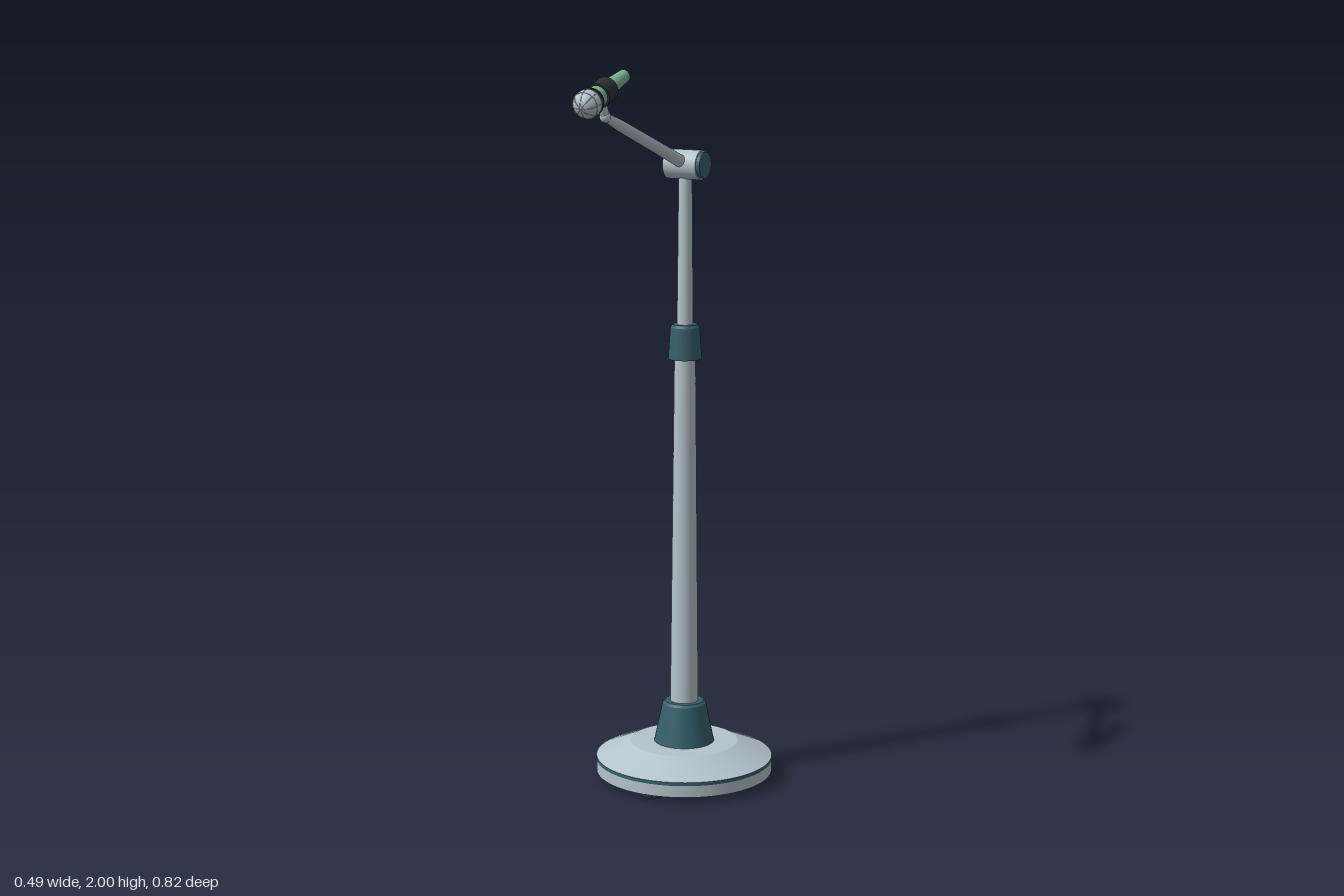
import * as THREE from 'three';

const mat = (name, color) => {
  const m = new THREE.MeshStandardMaterial({ color });
  m.name = name;
  return m;
};

export function createModel() {
  const silver = mat('silver', 0xb4c4cc);
  const teal = mat('teal', 0x35606c);
  const green = mat('green', 0x78b397);
  const black = mat('black', 0x2b2f33);

  const model = new THREE.Group();
  model.name = 'microphoneStand';

  const add = (parent, name, geometry, material, x = 0, y = 0, z = 0) => {
    const mesh = new THREE.Mesh(geometry, material);
    mesh.name = name;
    mesh.position.set(x, y, z);
    parent.add(mesh);
    return mesh;
  };
  // upright frustum between two heights
  const frustum = (parent, name, y0, y1, r0, r1, material, sides = 40) =>
    add(parent, name, new THREE.CylinderGeometry(r1, r0, y1 - y0, sides), material, 0, (y0 + y1) / 2, 0);
  // frustum between two points
  const rod = (parent, name, a, b, r0, r1, material) => {
    const dir = b.clone().sub(a);
    const mesh = add(parent, name, new THREE.CylinderGeometry(r1, r0, dir.length(), 24), material);
    mesh.position.copy(a).add(b).multiplyScalar(0.5);
    mesh.quaternion.setFromUnitVectors(new THREE.Vector3(0, 1, 0), dir.normalize());
  };

  // Stand: base, column and hinge share one upright axis
  const stand = new THREE.Group();
  stand.name = 'stand';
  stand.position.z = -0.162;
  model.add(stand);

  frustum(stand, 'baseDisc', 0.02, 0.053, 0.247, 0.247, silver, 64);
  frustum(stand, 'baseBand', 0.053, 0.063, 0.247, 0.247, teal, 64);
  frustum(stand, 'baseTop', 0.063, 0.105, 0.247, 0.15, silver, 64);
  for (let i = 0; i < 3; i++) {
    const a = (i * Math.PI * 2) / 3;
    add(stand, 'foot', new THREE.CylinderGeometry(0.03, 0.03, 0.02, 24), black,
      0.19 * Math.sin(a), 0.01, 0.19 * Math.cos(a));
  }
  frustum(stand, 'columnSocket', 0.105, 0.215, 0.084, 0.061, teal);
  frustum(stand, 'columnSocketRim', 0.215, 0.222, 0.061, 0.054, teal);
  frustum(stand, 'lowerColumn', 0.222, 1.2, 0.039, 0.029, silver);
  frustum(stand, 'clampCollar', 1.195, 1.282, 0.046, 0.04, teal);
  frustum(stand, 'clampCollarRim', 1.282, 1.29, 0.04, 0.034, teal);
  frustum(stand, 'upperColumn', 1.29, 1.71, 0.022, 0.018, silver);

  // Hinge barrel lying across, with a knob on the left
  add(stand, 'hingeBarrel', new THREE.CylinderGeometry(0.04, 0.04, 0.098, 32), silver, 0, 1.725, 0).rotation.z = Math.PI / 2;
  add(stand, 'hingeKnob', new THREE.CylinderGeometry(0.036, 0.036, 0.011, 32), teal, 0.0545, 1.725, 0).rotation.z = Math.PI / 2;

  // Boom arm
  const p = (y, z) => new THREE.Vector3(0, y, z);
  const armEnd = p(1.856, 0.2), elbow = p(1.885, 0.28);
  rod(model, 'boomArm', p(1.737, -0.13), armEnd, 0.017, 0.015, silver);
  rod(model, 'boomTip', armEnd, elbow, 0.015, 0.011, silver);
  add(model, 'elbow', new THREE.SphereGeometry(0.015, 20, 14), silver, 0, elbow.y, elbow.z);
  rod(model, 'clipStem', elbow, p(1.925, 0.3), 0.012, 0.012, silver);

  // Microphone: local +y runs from tail to grille, ball at the origin
  const mic = new THREE.Group();
  mic.name = 'microphone';
  mic.position.set(0, 1.924, 0.371);
  mic.rotation.x = Math.PI / 2 + 0.297;
  model.add(mic);

  add(mic, 'grille', new THREE.SphereGeometry(0.037, 32, 24), silver);
  for (const h of [-0.012, 0.012]) {
    const ring = new THREE.TorusGeometry(Math.sqrt(0.037 ** 2 - h * h), 0.0012, 6, 36);
    add(mic, 'grilleRing', ring, silver, 0, h, 0).rotation.x = Math.PI / 2;
  }
  for (let i = 0; i < 4; i++) {
    add(mic, 'grilleRib', new THREE.TorusGeometry(0.037, 0.0012, 6, 36), silver).rotation.y = (i * Math.PI) / 4;
  }
  frustum(mic, 'grilleCollar', -0.03, -0.017, 0.032, 0.037, black);
  frustum(mic, 'micNeck', -0.062, -0.03, 0.027, 0.029, green);
  frustum(mic, 'clip', -0.105, -0.056, 0.033, 0.033, black);
  frustum(mic, 'micBody', -0.2, -0.1, 0.017, 0.023, green);

  return model;
}
